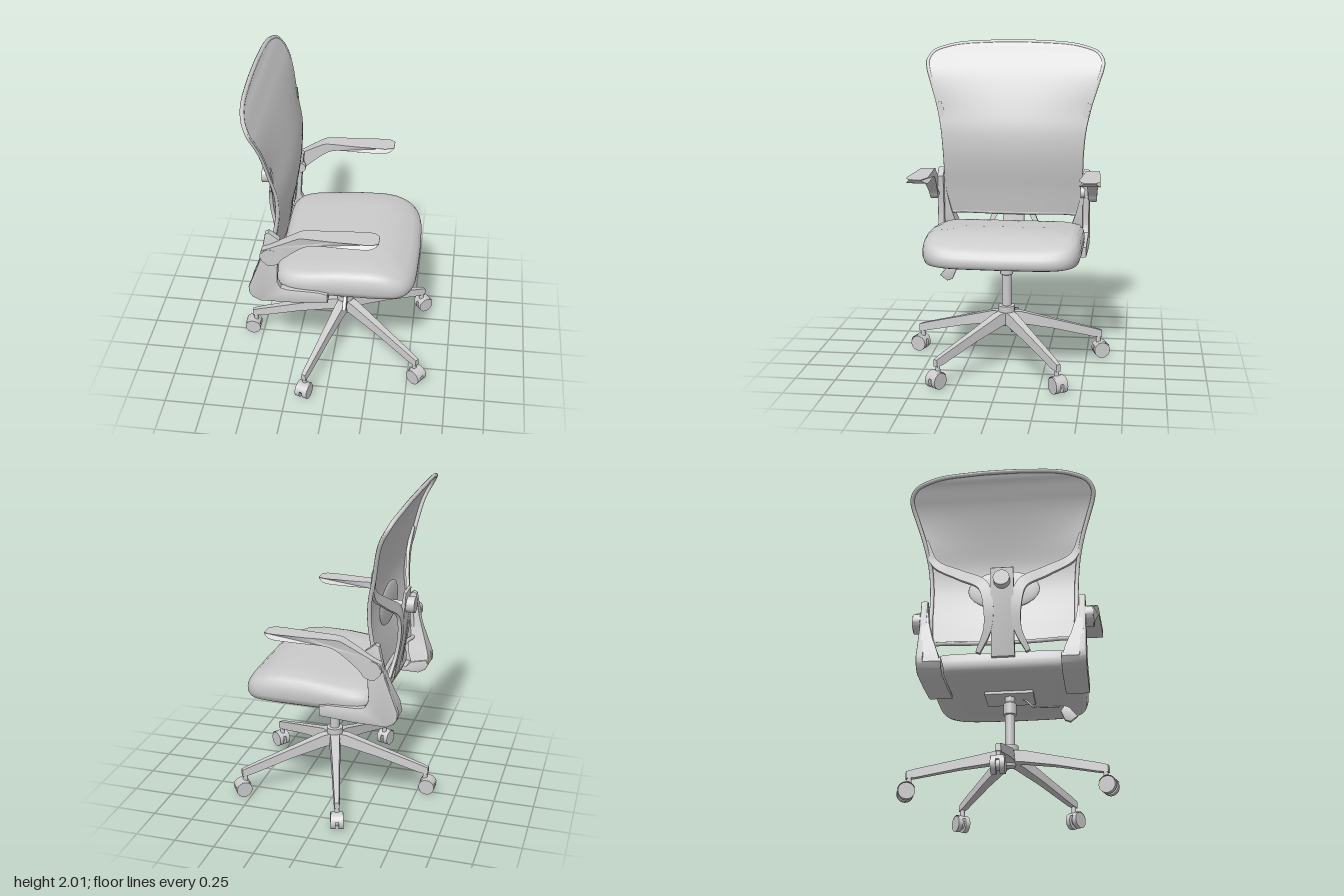
import * as THREE from 'three';
import { toCreasedNormals } from 'three/addons/utils/BufferGeometryUtils.js';

const V = (x, y, z) => new THREE.Vector3(x, y, z);
const mat = new THREE.MeshStandardMaterial({ color: 0xcccccc, side: THREE.DoubleSide });

function add(parent, name, geo, x = 0, y = 0, z = 0) {
  const m = new THREE.Mesh(geo, mat);
  m.name = name;
  m.position.set(x, y, z);
  parent.add(m);
  return m;
}

// Piecewise linear lookup in [[key, value], ...]
function lerpTable(t, k) {
  if (k <= t[0][0]) return t[0][1];
  for (let i = 1; i < t.length; i++) {
    if (k <= t[i][0]) {
      const f = (k - t[i - 1][0]) / (t[i][0] - t[i - 1][0]);
      return t[i - 1][1] + f * (t[i][1] - t[i - 1][1]);
    }
  }
  return t[t.length - 1][1];
}

// Skin through closed rings of equal length, with both ends capped
function loft(rings, crease = 0.6) {
  const n = rings[0].length, last = (rings.length - 1) * n, idx = [];
  for (let i = 0; i < rings.length - 1; i++) {
    for (let j = 0; j < n; j++) {
      const a = i * n + j, b = i * n + (j + 1) % n, c = b + n, d = a + n;
      idx.push(a, d, c, a, c, b);
    }
  }
  for (let j = 1; j < n - 1; j++) idx.push(0, j, j + 1, last, last + j + 1, last + j);
  const g = new THREE.BufferGeometry().setFromPoints(rings.flat());
  g.setIndex(idx);
  g.computeVertexNormals();
  return toCreasedNormals(g, crease);
}

// Side profile (x, y) extruded between z0 and z1
function slab(points, z0, z1, bevel = 0.008) {
  const shape = new THREE.Shape(points.map(p => new THREE.Vector2(p[0], p[1])));
  const g = new THREE.ExtrudeGeometry(shape, {
    depth: z1 - z0 - 2 * bevel, bevelEnabled: bevel > 0, bevelSize: bevel, bevelThickness: bevel, bevelOffset: -bevel, bevelSegments: 2
  });
  g.translate(0, 0, z0 + bevel);
  return toCreasedNormals(g, 0.6);
}

// Smooth 2D profile through a few points
const smooth = (pts, n, tension = 0.5) => new THREE.CatmullRomCurve3(pts.map(p => V(p[0], p[1], 0)), true, 'catmullrom', tension)
  .getPoints(n).slice(0, -1).map(p => [p.x, p.y]);

function seatGeometry() {
  const top = [[-0.34, 0.855], [-0.1, 0.872], [0.1, 0.895], [0.22, 0.902], [0.35, 0.888], [0.45, 0.855], [0.53, 0.81]];
  const rows = [[0, 0], [0.6, 0], [0.92, 0.02], [0.975, 0.1], [1, 0.3], [1, 0.55], [0.985, 0.75], [0.95, 0.9], [0.87, 0.98], [0.6, 1], [0.3, 1], [0.001, 1]];
  const pw = (c, e) => Math.sign(c) * Math.abs(c) ** e;
  return loft(rows.map(([s, f]) => Array.from({ length: 64 }, (_, j) => {
    const a = j / 64 * Math.PI * 2;
    const z = 0.48 * s * pw(Math.sin(a), 0.32);
    const x = 0.1 + 0.43 * s * pw(Math.cos(a), 0.36) - 0.02 * s * (z / 0.48) ** 2;
    const y0 = 0.715, y1 = lerpTable(top, x);
    return V(x, y0 + f * (y1 - y0), z);
  })), 1.2);
}

// Backrest centre line: x, y and half width
const backCurve = new THREE.CatmullRomCurve3([
  [-0.31, 0.9, 0.44], [-0.285, 1.05, 0.45], [-0.255, 1.2, 0.452], [-0.242, 1.32, 0.457], [-0.25, 1.45, 0.47],
  [-0.29, 1.6, 0.503], [-0.343, 1.75, 0.55], [-0.378, 1.83, 0.576], [-0.405, 1.88, 0.581], [-0.435, 1.935, 0.545],
  [-0.458, 1.97, 0.45], [-0.468, 1.988, 0.35], [-0.475, 2.0, 0.12]].map(p => V(...p)));
function backPoint(u, v) {
  const p = backCurve.getPoint(v);
  const fade = 1 - THREE.MathUtils.smoothstep(p.y, 1.5, 1.85);
  return V(p.x - 0.038 * fade * u * u, p.y, -u * p.z);
}

function buildBack(g) {
  const sheet = new THREE.PlaneGeometry(2, 1, 24, 60), pos = sheet.attributes.position;
  for (let i = 0; i < pos.count; i++) {
    const p = backPoint(pos.getX(i), pos.getY(i) + 0.5);
    pos.setXYZ(i, p.x, p.y, p.z);
  }
  sheet.computeVertexNormals();
  add(g, 'backMesh', sheet);

  // Rim around the mesh
  const rim = [];
  for (let i = 0; i <= 40; i++) rim.push(backPoint(1, i / 40));
  for (let i = 40; i >= 0; i--) rim.push(backPoint(-1, i / 40));
  for (let i = 1; i < 8; i++) rim.push(backPoint(-1 + i / 4, 0));
  rim.forEach(p => { p.x -= 0.01; p.z *= 0.978; });
  add(g, 'backFrame', new THREE.TubeGeometry(new THREE.CatmullRomCurve3(rim, true, 'centripetal'), 220, 0.013, 8, true));

  // Curved support arms running from the rim into the central spine
  for (const s of [1, -1]) {
    const path = new THREE.CatmullRomCurve3([[-0.325, 1.62, 0.485], [-0.31, 1.47, 0.43], [-0.345, 1.36, 0.27], [-0.385, 1.26, 0.12],
      [-0.39, 1.12, 0.085], [-0.37, 0.97, 0.09], [-0.34, 0.83, 0.15]].map(p => V(p[0], p[1], p[2] * s)));
    const rings = [];
    for (let i = 0; i <= 36; i++) {
      const t = i / 36, p = path.getPoint(t), X = V(1, 0, 0);
      const n = path.getTangent(t).cross(X).normalize().multiplyScalar(0.014 + 0.02 * Math.sin(Math.PI * t));
      X.multiplyScalar(0.011);
      rings.push([p.clone().add(n).sub(X), p.clone().add(n).add(X), p.clone().sub(n).add(X), p.clone().sub(n).sub(X)]);
    }
    add(g, 'backSupportArm', loft(rings));
  }
  add(g, 'backSpine', slab([[-0.415, 1.36], [-0.4, 1.37], [-0.375, 1.2], [-0.36, 1.0], [-0.32, 0.8], [-0.35, 0.8], [-0.385, 1.0], [-0.405, 1.2]], -0.07, 0.07, 0.004));

  // Lumbar pad with its adjusting knob
  const pad = add(g, 'lumbarPad', new THREE.SphereGeometry(1, 32, 16), -0.292, 1.27, 0);
  pad.scale.set(0.018, 0.13, 0.22);
  add(g, 'lumbarShaft', new THREE.CylinderGeometry(0.02, 0.02, 0.13, 16).rotateZ(Math.PI / 2), -0.36, 1.27, 0);
  add(g, 'lumbarKnob', new THREE.CylinderGeometry(0.05, 0.05, 0.055, 28).rotateZ(Math.PI / 2), -0.433, 1.27, 0);
}

function buildSide() {
  const g = new THREE.Group();
  g.name = 'armSide';
  // Upright wall and the foot that grips the seat underside
  add(g, 'armBracket', slab([[-0.478, 0.77], [-0.475, 0.725], [-0.455, 0.695], [-0.41, 0.67], [-0.2, 0.674], [0.005, 0.69], [0.005, 0.755], [-0.05, 0.768],
    [-0.24, 0.772], [-0.28, 0.785], [-0.3, 0.83], [-0.29, 1.0], [-0.277, 1.14], [-0.34, 1.19], [-0.362, 1.18], [-0.4, 0.98]], 0.455, 0.497));
  add(g, 'bracketFoot', slab([[-0.474, 0.73], [-0.455, 0.695], [-0.41, 0.67], [-0.2, 0.674], [0.005, 0.69], [0.005, 0.71], [-0.33, 0.705], [-0.36, 0.74], [-0.46, 0.76]], 0.35, 0.48, 0.004));
  // Rear web tapering from the foot up into the upright
  const web = [[0.73, -0.473, -0.36, 0.355], [0.8, -0.465, -0.335, 0.375], [0.9, -0.43, -0.325, 0.41], [1.02, -0.39, -0.32, 0.44], [1.15, -0.36, -0.31, 0.455]];
  add(g, 'bracketWeb', loft(web.map(([y, x0, x1, z]) => [V(x0, y, z), V(x1, y, z), V(x1, y, 0.48), V(x0, y, 0.48)])));

  // Armrest: side profile widening towards the front
  const profile = smooth([[-0.388, 1.03], [-0.34, 0.98], [-0.285, 1.0], [-0.25, 1.045], [-0.1, 1.165], [0.1, 1.178], [0.26, 1.186], [0.312, 1.217],
    [0.2, 1.219], [0.05, 1.217], [-0.12, 1.216], [-0.18, 1.195], [-0.33, 1.11], [-0.38, 1.085]], 72, 0.4);
  const pad = slab(profile, 0, 1, 0), pos = pad.attributes.position;
  const inner = [[-0.36, 0.497], [-0.1, 0.48], [0.24, 0.457], [0.285, 0.465], [0.315, 0.49]];
  const outer = [[-0.36, 0.54], [-0.25, 0.548], [-0.1, 0.57], [0.24, 0.588], [0.285, 0.583], [0.315, 0.56]];
  for (let i = 0; i < pos.count; i++) {
    const x = pos.getX(i), k = pos.getZ(i);
    pos.setZ(i, (1 - k) * lerpTable(inner, x) + k * lerpTable(outer, x));
  }
  add(g, 'armrest', toCreasedNormals(pad, 0.6));
  add(g, 'armPivot', new THREE.CylinderGeometry(0.055, 0.055, 0.06, 28).rotateX(Math.PI / 2), -0.33, 1.045, 0.515);
  return g;
}

function buildLeg() {
  const g = new THREE.Group();
  g.name = 'baseLeg';
  // Tapered spoke: radius, bottom, top, half width
  const rows = [[0.02, 0.27, 0.345, 0.036], [0.09, 0.262, 0.338, 0.035], [0.3, 0.215, 0.275, 0.027], [0.57, 0.14, 0.195, 0.019], [0.625, 0.132, 0.176, 0.016]];
  add(g, 'spoke', loft(rows.map(([x, b, t, w]) => [V(x, t, w * 0.8), V(x, t, -w * 0.8), V(x, b, -w), V(x, b, w)])));
  add(g, 'casterStem', new THREE.CylinderGeometry(0.013, 0.016, 0.06, 14), 0.605, 0.118, 0);
  for (const s of [1, -1]) {
    add(g, 'casterWheel', new THREE.CylinderGeometry(0.05, 0.05, 0.03, 28).rotateX(Math.PI / 2), 0.622, 0.05, s * 0.025);
  }
  add(g, 'casterAxle', new THREE.CylinderGeometry(0.03, 0.03, 0.05, 16).rotateX(Math.PI / 2), 0.622, 0.05, 0);
  // Hood over the wheels
  add(g, 'casterHood', new THREE.CylinderGeometry(0.054, 0.054, 0.074, 20, 1, true, 0, Math.PI * 0.75)
    .rotateX(Math.PI / 2).rotateZ(Math.PI * 0.6), 0.622, 0.052, 0);
  return g;
}

export function createModel() {
  const chair = new THREE.Group();
  chair.name = 'officeChair';
  const cx = 0.055;

  add(chair, 'seat', seatGeometry());
  buildBack(chair);
  const left = buildSide(), right = buildSide();
  right.scale.z = -1;
  chair.add(left, right);
  add(chair, 'pivotKnob', new THREE.CylinderGeometry(0.036, 0.036, 0.03, 20).rotateX(Math.PI / 2), -0.3, 1.045, -0.455);

  // Tilt mechanism, gas column and hub
  add(chair, 'tiltPlate', new THREE.BoxGeometry(0.2, 0.03, 0.3), 0.08, 0.713, 0);
  const column = [[0, 0.25], [0.034, 0.25], [0.045, 0.33], [0.052, 0.34], [0.052, 0.38], [0.03, 0.382], [0.03, 0.58], [0.04, 0.585], [0.04, 0.655], [0.032, 0.665], [0.032, 0.715]];
  add(chair, 'gasColumn', toCreasedNormals(new THREE.LatheGeometry(column.map(p => new THREE.Vector2(...p)), 32), 0.6), cx, 0, 0);

  // Height lever with paddle
  const leverPath = new THREE.CatmullRomCurve3([V(0.09, 0.7, 0.08), V(0.09, 0.69, 0.1), V(0.09, 0.648, 0.145), V(0.09, 0.645, 0.2), V(0.09, 0.645, 0.33)], false, 'centripetal');
  add(chair, 'heightLever', new THREE.TubeGeometry(leverPath, 24, 0.006, 8));
  const paddle = [[0.31, 0.615], [0.335, 0.648], [0.365, 0.635], [0.415, 0.575], [0.37, 0.54], [0.335, 0.553]];
  add(chair, 'leverPaddle', slab(paddle.map(([z, y]) => [-z, y]), -0.012, 0.012, 0.004).rotateY(Math.PI / 2), 0.095, 0, 0);

  // Five-spoke base
  for (let i = 0; i < 5; i++) {
    const leg = buildLeg();
    leg.position.x = cx;
    leg.rotation.y = (36 + 72 * i) * Math.PI / 180;
    chair.add(leg);
  }
  return chair;
}
